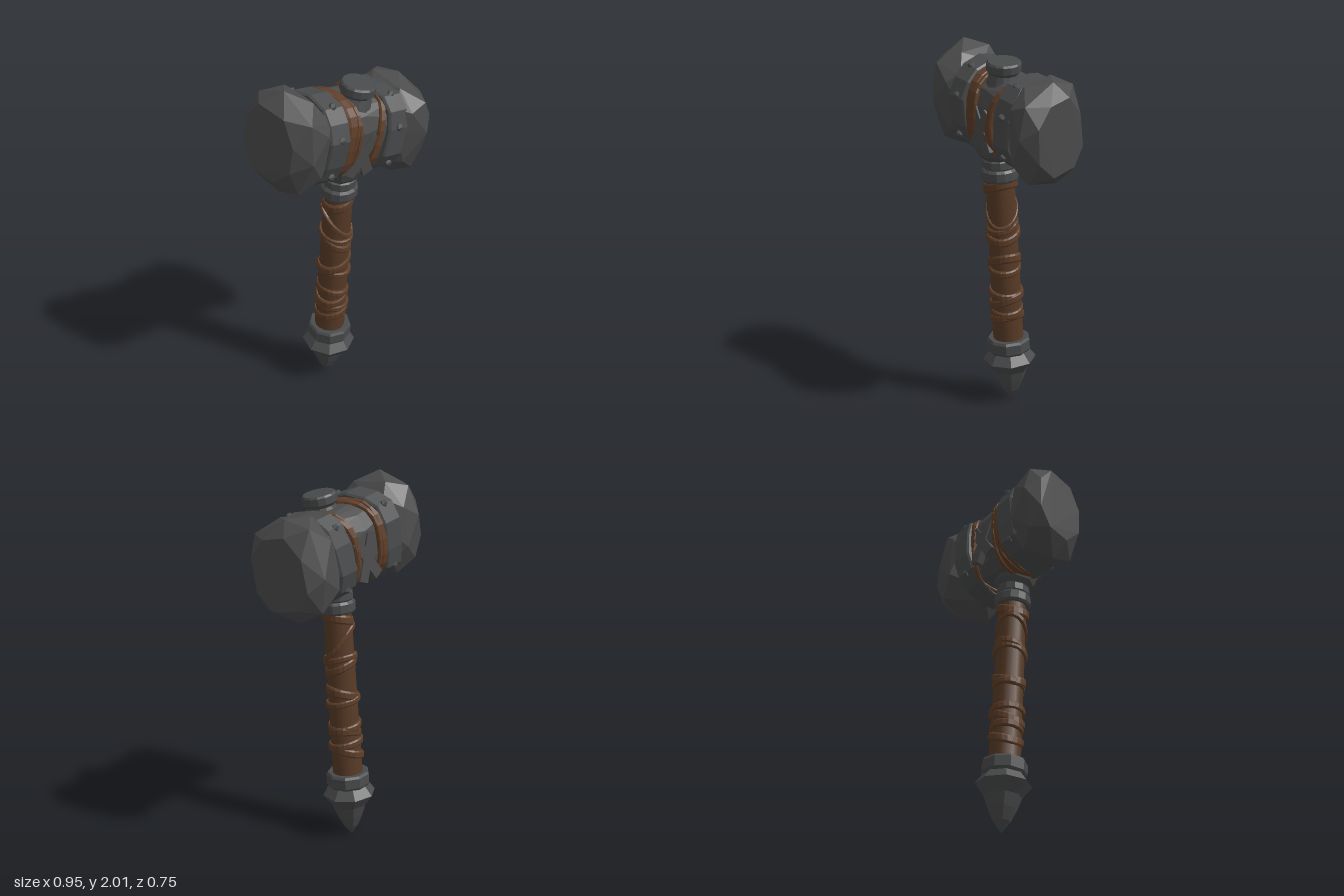
import * as THREE from 'three';
import { ConvexGeometry } from 'three/addons/geometries/ConvexGeometry.js';

const mat = (name, color) => {
  const m = new THREE.MeshStandardMaterial({ color });
  m.name = name;
  return m;
};

// Small seeded generator, returns -1..1
const seeded = (s) => () => {
  s = (s * 16807) % 2147483647;
  return (s / 2147483647) * 2 - 1;
};

const flat = (g) => {
  const f = g.index ? g.toNonIndexed() : g;
  f.computeVertexNormals();
  return f;
};

// Point on a squarish oval; power below 1 makes it boxier
const oval = (a, rx, rz, power) => {
  const f = (v) => Math.sign(v) * Math.abs(v) ** power;
  return [f(Math.cos(a)) * rx, f(Math.sin(a)) * rz];
};

// Closed strap around the y axis: raised trapezoid swept round an oval
function ringGeometry({ rx, rz = rx, power = 1, width, thick, seg = 20, bevel = 0.7, y, bump }) {
  const w = width / 2;
  const profile = [[-w, -0.025], [-w, thick * 0.5], [-w * bevel, thick], [w * bevel, thick], [w, thick * 0.5], [w, -0.025]];
  const pos = [], idx = [], n = profile.length;
  for (let i = 0; i < seg; i++) {
    const a = (i / seg) * Math.PI * 2;
    for (const [h, t] of profile) {
      const d = t + (t > 0 ? bump(a) : 0);
      const [px, pz] = oval(a, rx + d, rz + d, power);
      pos.push(px, y(a) + h, pz);
    }
    for (let j = 0; j < n; j++) {
      const p = i * n + j, q = i * n + (j + 1) % n;
      const r = ((i + 1) % seg) * n + j, s = ((i + 1) % seg) * n + (j + 1) % n;
      idx.push(p, q, s, p, s, r);
    }
  }
  const g = new THREE.BufferGeometry();
  g.setAttribute('position', new THREE.Float32BufferAttribute(pos, 3));
  g.setIndex(idx);
  return flat(g);
}

// Chipped block: hull of jittered, slightly slanted oval sections [x, halfHeight, halfWidth] along x
function chippedBlock(sections, sides, jitter, seed, power) {
  const rnd = seeded(seed), pts = [];
  sections.forEach(([x, hh, hw], k) => {
    for (let i = 0; i < sides; i++) {
      const a = ((i + (k % 2) * 0.5 + rnd() * 0.15) / sides) * Math.PI * 2;
      const s = 1 + rnd() * jitter;
      const [u, v] = oval(a, hh * s, hw * s, power);
      pts.push(new THREE.Vector3(x + 0.15 * v - 0.08 * u + rnd() * jitter * 0.1, u, v));
    }
  });
  return flat(new ConvexGeometry(pts));
}

const lathe = (pts, sides) =>
  flat(new THREE.LatheGeometry(pts.map(([r, y]) => new THREE.Vector2(r, y)), sides));

export function createModel() {
  const stone = mat('stone grey', 0x4b4b4b);
  const iron = mat('iron grey', 0x494a4b);
  const wood = mat('dark wood', 0x573a26);
  const leather = mat('leather brown', 0x5e3e28);

  const model = new THREE.Group();
  const add = (parent, name, geometry, material) => {
    const mesh = new THREE.Mesh(geometry, material);
    mesh.name = name;
    parent.add(mesh);
    return mesh;
  };

  // Handle assembly, leaning slightly
  const handle = new THREE.Group();
  handle.name = 'handle';
  handle.position.set(-0.071, 0, -0.036);
  handle.quaternion.setFromUnitVectors(new THREE.Vector3(0, 1, 0), new THREE.Vector3(0.053, 1, 0.052).normalize());
  model.add(handle);

  add(handle, 'shaft', new THREE.CylinderGeometry(0.076, 0.084, 1.02, 16), wood).position.y = 0.84;

  // Pommel: pointed spike with a flange, and a collar above it
  add(handle, 'pommelSpike', lathe([[0, 0], [0.045, 0.06], [0.075, 0.125], [0.098, 0.19], [0.147, 0.255], [0.105, 0.31], [0, 0.31]], 8), iron);
  add(handle, 'pommelCollar', lathe([[0, 0.3], [0.112, 0.305], [0.121, 0.318], [0.121, 0.372], [0.112, 0.385], [0, 0.385]], 9), iron);

  // Collars and flared socket under the head
  add(handle, 'lowerCollar', lathe([[0, 1.3], [0.092, 1.3], [0.099, 1.312], [0.099, 1.355], [0.088, 1.368], [0, 1.368]], 14), iron);
  add(handle, 'upperCollar', lathe([[0, 1.36], [0.08, 1.362], [0.09, 1.375], [0.09, 1.412], [0.08, 1.422], [0, 1.422]], 12), iron);
  add(handle, 'socket', lathe([[0, 1.41], [0.082, 1.415], [0.11, 1.445], [0.13, 1.5], [0.135, 1.58], [0, 1.58]], 8), iron);

  // Leather wraps on the shaft: [height, tilt, direction, width]
  const wraps = [
    [0.505, 0.03, 0.4, 0.045], [0.555, 0.015, 2.8, 0.04], [0.615, 0.03, 1.2, 0.045], [0.66, 0.015, 3.6, 0.04],
    [0.8, 0.015, 3.0, 0.035], [0.845, 0.03, 0.3, 0.05],
    [1.0, 0.035, 2.9, 0.045], [1.04, 0.02, 2.2, 0.035], [1.13, 0.09, 2.9, 0.035], [1.265, 0.025, 0.5, 0.05],
  ];
  wraps.forEach(([h, tilt, dir, width], i) => {
    const g = ringGeometry({
      rx: 0.0865 - h * 0.007, width, thick: 0.011, bevel: 0.6,
      y: (a) => tilt * Math.cos(a + dir),
      bump: (a) => 0.004 * Math.sin(a * 2 + i * 1.9),
    });
    add(handle, 'handleWrap', g, leather).position.y = h;
  });

  // Head assembly, long axis along local x
  const head = new THREE.Group();
  head.name = 'head';
  const ax = new THREE.Vector3(0.81, -0.16, -0.57).normalize();
  const up = new THREE.Vector3(0.19, 1, 0);
  up.addScaledVector(ax, -up.dot(ax)).normalize();
  head.quaternion.setFromRotationMatrix(new THREE.Matrix4().makeBasis(ax, up, ax.clone().cross(up)));
  head.position.set(0, 1.665, 0);
  model.add(head);

  add(head, 'core', chippedBlock([[-0.24, 0.21, 0.178], [0, 0.213, 0.186], [0.24, 0.21, 0.178]], 12, 0.015, 5, 0.75), stone);

  for (const s of [-1, 1]) {
    // Rough stone striking end
    const end = [[0.21, 0.215, 0.185], [0.27, 0.263, 0.22], [0.365, 0.273, 0.225], [0.442, 0.2, 0.165]];
    add(head, s < 0 ? 'rightStone' : 'leftStone', chippedBlock(end.map(([x, h, w]) => [x * s, h, w]), 8, 0.045, s < 0 ? 71 : 23, 0.8), stone);

    // Iron band, slanted like the stones, with rivets
    const band = ringGeometry({
      rx: 0.22, rz: 0.192, power: 0.78, width: 0.125, thick: 0.018, seg: 14, bevel: 0.85,
      y: (a) => 0.032 * Math.sin(a) + 0.006 * Math.sin(a * 3 + s), bump: (a) => 0.006 * Math.sin(a * 5 + s),
    });
    band.rotateZ(-Math.PI / 2);
    add(head, 'band', band, iron).position.x = s * 0.185;
    for (const a of [0.4, 1.3, 2.1, 4.0, 5.4]) {
      const [u, v] = oval(a, 0.234, 0.206, 0.78);
      add(head, 'rivet', flat(new THREE.IcosahedronGeometry(0.022, 0)), iron).position.set(s * 0.185 + 0.16 * v, u, v);
    }

    // Crossed braces in low relief on the front and back faces
    for (const t of [-1, 1]) {
      const brace = add(head, 'brace', new THREE.BoxGeometry(0.06, 0.25, 0.04), stone);
      brace.position.set(0.01 + s * 0.015, -0.055, s * 0.172);
      brace.rotation.z = t * 0.5;
    }
  }

  // Leather straps beside the bands: [offset, lean, sway, phase, width]
  const straps = [
    [-0.098, 0.04, 0.008, 0, 0.06], [-0.07, 0.034, 0.015, 0.8, 0.026], [-0.085, 0.05, 0.015, 2.6, 0.026],
    [0.112, 0.025, 0.033, 0, 0.036], [0.098, 0.02, 0.032, 0.5, 0.022],
  ];
  straps.forEach(([x, lean, sway, phase, width], k) => {
    const strap = ringGeometry({
      rx: 0.21, rz: 0.184, power: 0.78, width, thick: 0.016, seg: 24, bevel: 0.65,
      y: (a) => lean * Math.sin(a) + sway * Math.cos(2 * a + phase), bump: (a) => 0.004 * Math.sin(a * 3 + k),
    });
    strap.rotateZ(-Math.PI / 2);
    add(head, 'headStrap', strap, leather).position.x = x;
  });

  // Round peg through the top
  const peg = add(head, 'topPeg', lathe([[0, 0.15], [0.1, 0.15], [0.075, 0.225], [0.083, 0.235], [0.091, 0.243], [0.091, 0.28], [0.083, 0.29], [0, 0.29]], 14), iron);
  peg.position.set(0.025, 0, 0.04);

  return model;
}
